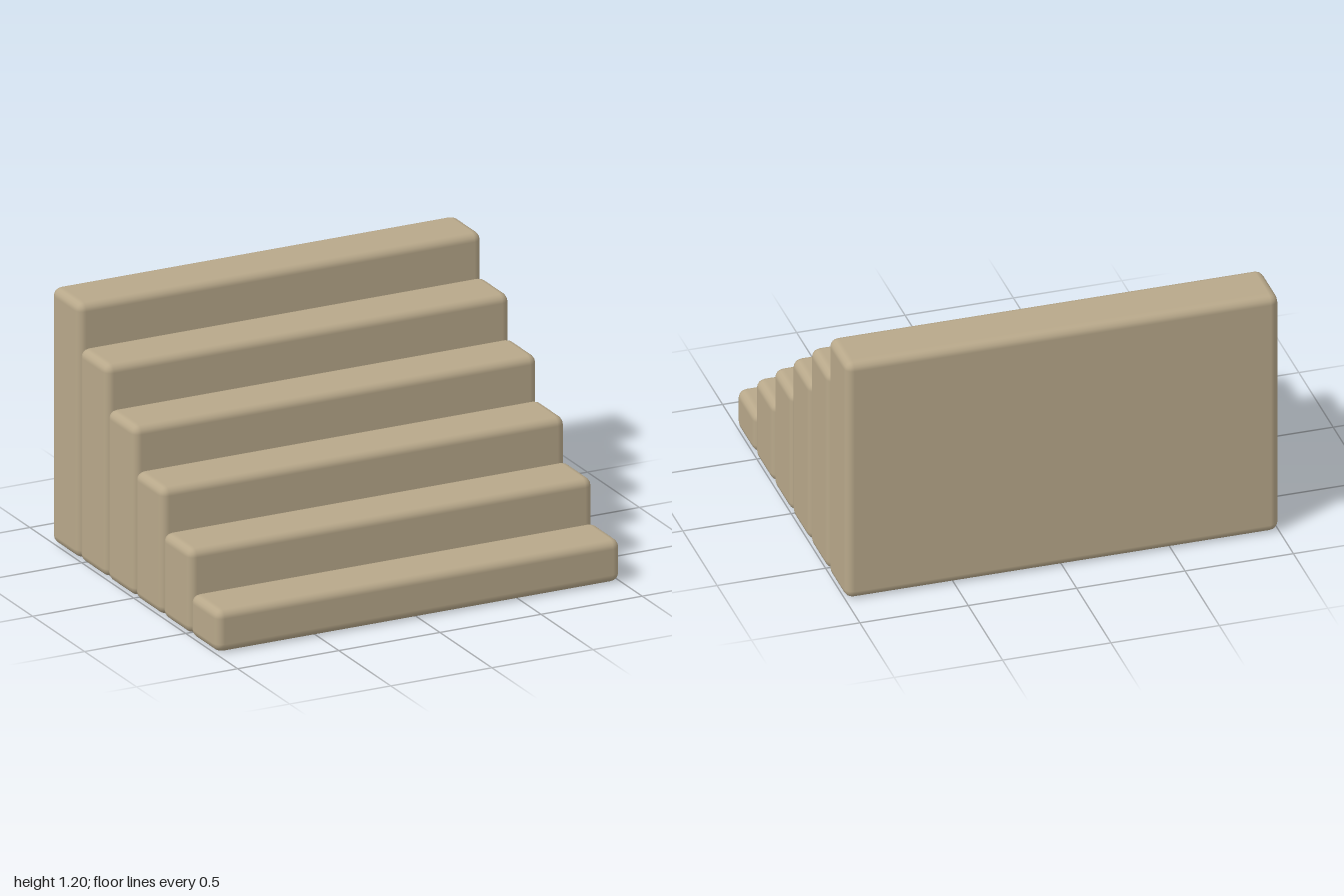
import * as THREE from 'three';
import { RoundedBoxGeometry } from 'three/addons/geometries/RoundedBoxGeometry.js';

const STEPS = 6;
const WIDTH = 2;
const DEPTH = 1.6 / STEPS;
const RISE = 0.2;
const BEVEL = 0.04;

export function createModel() {
  const group = new THREE.Group();
  group.name = 'staircase';
  const stone = new THREE.MeshStandardMaterial({ color: 0xb8a88a });
  stone.name = 'sandstone';

  // Full-height blocks, rising from the front to the back
  for (let i = 0; i < STEPS; i++) {
    const height = RISE * (i + 1);
    const step = new THREE.Mesh(new RoundedBoxGeometry(WIDTH, height, DEPTH, 2, BEVEL), stone);
    step.name = `step${i + 1}`;
    step.position.set(0, height / 2, 0.8 - DEPTH * (i + 0.5));
    group.add(step);
  }
  return group;
}
